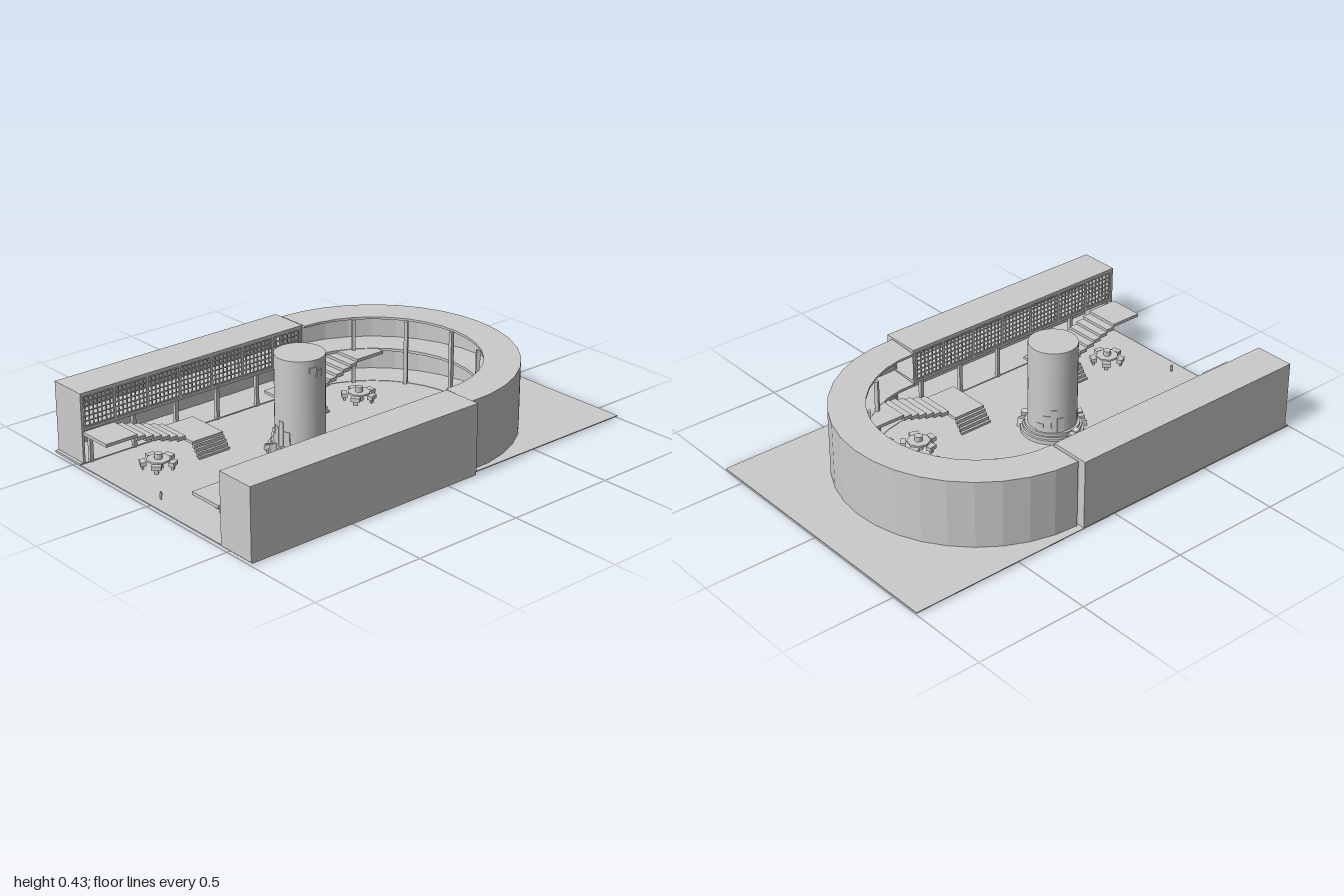
import * as THREE from 'three';

const grey = new THREE.MeshStandardMaterial({ color: 0xcccccc, side: THREE.DoubleSide });
const FLOOR = 0.01;

function add(parent, name, geometry, x = 0, y = 0, z = 0) {
  const mesh = new THREE.Mesh(geometry, grey);
  mesh.name = name;
  mesh.position.set(x, y, z);
  parent.add(mesh);
  return mesh;
}

function group(parent, name) {
  const g = new THREE.Group();
  g.name = name;
  parent.add(g);
  return g;
}

// Box given by its limits
function block(parent, name, x0, x1, y0, y1, z0, z1) {
  return add(parent, name, new THREE.BoxGeometry(Math.abs(x1 - x0), y1 - y0, Math.abs(z1 - z0)),
    (x0 + x1) / 2, (y0 + y1) / 2, (z0 + z1) / 2);
}

function drum(parent, name, r0, r1, y0, y1, x, z, sides) {
  return add(parent, name, new THREE.CylinderGeometry(r1, r0, y1 - y0, sides), x, (y0 + y1) / 2, z);
}

// Part of a flat ring, opening towards the front, raised from y0 to y1
function arcBand(parent, name, rOut, rIn, y0, y1) {
  const a = THREE.MathUtils.degToRad(-3), b = Math.PI;
  const shape = new THREE.Shape();
  shape.absarc(0, 0, rOut, a, b, false);
  shape.absarc(0, 0, rIn, b, a, true);
  const geo = new THREE.ExtrudeGeometry(shape, { depth: y1 - y0, bevelEnabled: false, curveSegments: 9 });
  geo.rotateX(-Math.PI / 2);
  return add(parent, name, geo, -0.005, y0, -0.18);
}

// Curved two-storey gallery at the back
function buildCurve(root) {
  const g = group(root, 'curvedGallery');
  arcBand(g, 'curvedFloor', 0.605, 0.45, 0, 0.012);
  arcBand(g, 'curvedOuterWall', 0.605, 0.595, 0.005, 0.308);
  arcBand(g, 'curvedBalcony', 0.6, 0.45, 0.152, 0.164);
  arcBand(g, 'curvedRoof', 0.605, 0.45, 0.3, 0.31);
  for (let i = 1; i < 6; i++) {
    const t = i * Math.PI / 6;
    const post = block(g, 'curvedColumn', -0.008, 0.008, 0.005, 0.302, -0.008, 0.008);
    post.position.x = -0.005 + 0.442 * Math.cos(t);
    post.position.z = -0.18 - 0.442 * Math.sin(t);
    post.rotation.y = t;
  }
}

// Straight wing: closed outside, columns below and lattice windows above inside
function buildWing(root, s, z0, z1) {
  const g = group(root, s > 0 ? 'leftWing' : 'rightWing');
  const xi = s * 0.46, xo = s * 0.638;
  block(g, 'wingOuterWall', xo, xo - s * 0.01, FLOOR, 0.315, z0, z1);
  block(g, 'wingFrontWall', xi, xo, FLOOR, 0.315, z1 - 0.01, z1);
  block(g, 'wingBackWall', s * 0.59, xo, FLOOR, 0.315, z0, z0 + 0.01);
  block(g, 'wingRoof', xi, xo, 0.3, 0.315, z0, z1);
  block(g, 'wingUpperFloor', xi, xo, 0.152, 0.165, z0, z1);
  block(g, 'wingPlinth', xi, xo, 0.005, 0.014, z0, 0.99);
  for (let i = 0; i < 6; i++) {
    const z = z0 + 0.04 + i * (z1 - z0 - 0.08) / 5;
    block(g, 'wingColumn', xi - s * 0.004, xi + s * 0.012, 0.004, 0.155, z - 0.008, z + 0.008);
  }
  const windows = group(g, 'latticeWindows');
  const bays = 7, bars = 8, step = (z1 - z0) / (bays * bars);
  for (let i = 0; i <= bays * bars; i++) {
    const w = i % bars === 0 ? 0.006 : 0.002;
    const z = THREE.MathUtils.clamp(z0 + i * step, z0 + w, z1 - w);
    block(windows, 'uprightBar', xi, xi + s * 0.006, 0.165, 0.3, z - w, z + w);
  }
  for (let i = 0; i <= 6; i++) {
    const y = 0.169 + i * 0.0212;
    block(windows, 'crossBar', xi, xi + s * 0.006, y - 0.002, y + 0.002, z0, z1);
  }
}

// Upper platform, flight, lower landing and short side steps; d is the climbing direction
function buildStair(root, s, xWall, zLow, zMid, zHigh, zEnd) {
  const g = group(root, 'stair');
  const xi = s * xWall, xf = s * (xWall - 0.16), xl = s * (xWall - 0.205);
  block(g, 'upperPlatform', xi, xf, 0.148, 0.162, zHigh, zEnd);
  block(g, 'lowerLanding', xi, xl, 0.062, 0.074, zLow, zMid);
  const n = 6, run = (zHigh - zMid) / n, rise = 0.0125;
  for (let i = 0; i < n; i++) {
    const y = 0.074 + (i + 1) * rise;
    block(g, 'flightStep', xi, xf, y - rise - 0.004, y, zMid + i * run, zMid + (i + 1) * run);
  }
  for (let i = 0; i < 4; i++) {
    const x = xl - s * i * 0.011, y = 0.062 - i * 0.014;
    block(g, 'sideStep', x, x - s * 0.011, y - 0.016, y, zLow, zMid);
  }
}

// Round table with a centre post and five block stools
function buildTable(root, x, z, turn) {
  const g = group(root, 'tableSet');
  g.position.set(x, 0, z);
  g.rotation.y = turn;
  drum(g, 'tableTop', 0.05, 0.05, 0.042, 0.05, 0, 0, 8);
  drum(g, 'tableLeg', 0.02, 0.012, FLOOR, 0.043, 0, 0, 8);
  drum(g, 'tablePost', 0.017, 0.017, 0.05, 0.072, 0, 0, 10);
  for (let i = 0; i < 5; i++) {
    const seat = group(g, 'stool');
    seat.rotation.y = i * Math.PI * 0.4;
    block(seat, 'stoolSeat', 0.052, 0.076, 0.028, 0.046, -0.02, 0.02);
    block(seat, 'stoolLeg', 0.06, 0.068, FLOOR, 0.03, -0.008, 0.008);
  }
}

// Central tower with stepped rings, block reliefs and scattered blocks
function buildTower(root) {
  const g = group(root, 'tower');
  g.position.set(-0.01, 0, 0.22);
  drum(g, 'towerShaft', 0.105, 0.105, 0.004, 0.43, 0, 0, 40);
  [[0.135, 0.028], [0.125, 0.04], [0.117, 0.052]].forEach(([r, y]) =>
    drum(g, 'towerBaseRing', r, r, 0.004, y, 0, 0, 32));

  // Relief of upright blocks, listed as [sideways offset, width, bottom, top]
  const relief = (name, turn, blocks) => {
    const r = group(g, name);
    r.rotation.y = turn;
    blocks.forEach(([x, w, y0, y1]) => {
      const a = Math.asin(x / 0.106);
      const b = block(r, 'reliefBlock', -w / 2, w / 2, y0, y1, -0.005, 0.005);
      b.position.x = 0.103 * Math.sin(a);
      b.position.z = 0.103 * Math.cos(a);
      b.rotation.y = a;
    });
  };
  const skyline = [[-0.05, 0.03, 0.04, 0.09], [-0.022, 0.03, 0.04, 0.13],
    [0.008, 0.024, 0.04, 0.16], [0.035, 0.03, 0.04, 0.12]];
  relief('frontRelief', 0, skyline);
  relief('backRelief', -2.3, skyline);
  relief('upperRelief', 1.5, [[0.02, 0.03, 0.355, 0.385], [-0.012, 0.03, 0.375, 0.4]]);

  // Heaps of blocks round the base
  [-0.35, 0.35, 2.1, -1.6].forEach((turn, k) => {
    const heap = group(g, 'blockHeap');
    heap.rotation.y = turn;
    for (let i = 0; i < 3; i++) {
      const h = 0.025 + ((i + k) % 3) * 0.012;
      const b = block(heap, 'heapBlock', -0.012, 0.012, FLOOR, FLOOR + h, 0.115, 0.143);
      b.position.x = (i - 1) * 0.026;
      b.rotation.z = (i - 1) * 0.25;
    }
  });
}

export function createModel() {
  const root = new THREE.Group();
  root.name = 'courtyard';

  block(root, 'ground', -0.64, 0.62, 0.006, FLOOR, -1, 0.99);
  buildCurve(root);
  buildWing(root, -1, -0.17, 0.975);
  buildWing(root, 1, -0.145, 0.995);

  for (const s of [-1, 1]) {
    buildStair(root, s, s < 0 ? 0.455 : 0.44, 0.05, -0.105, -0.34, -0.49);
    buildStair(root, s, 0.437, 0.445, 0.6, 0.835, 0.985);
  }

  buildTable(root, -0.225, -0.29, 0.3);
  buildTable(root, 0.23, -0.305, 0.9);
  buildTable(root, -0.24, 0.765, 0.5);
  buildTable(root, 0.24, 0.765, 1.1);
  buildTower(root);

  // Small standing figure near the entrance
  const figure = group(root, 'figure');
  drum(figure, 'figureBody', 0.004, 0.006, FLOOR, 0.036, 0, 0.93, 8);
  add(figure, 'figureHead', new THREE.SphereGeometry(0.004, 8, 6), 0, 0.04, 0.93);
  return root;
}
